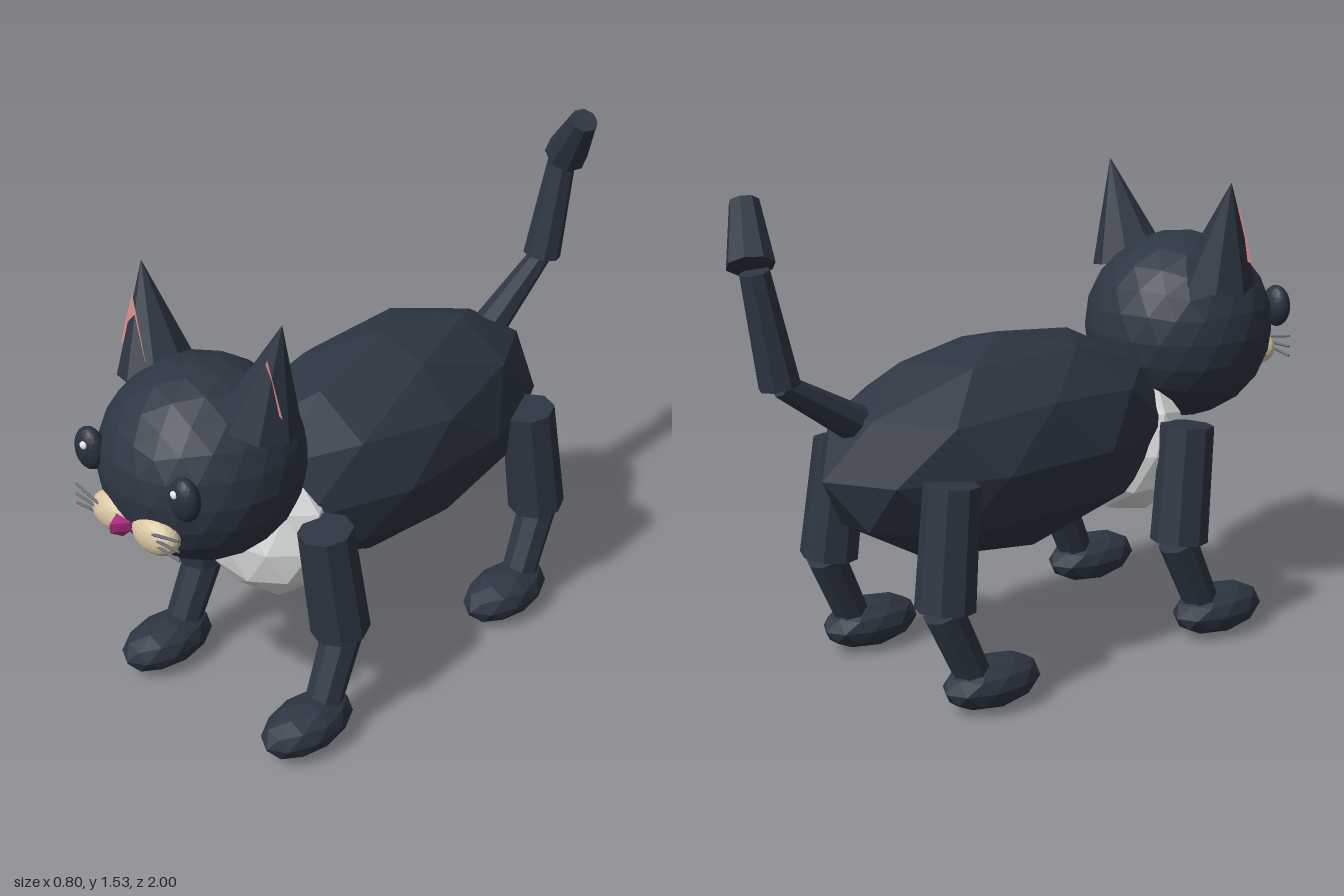
import * as THREE from 'three';
import { ConvexGeometry } from 'three/addons/geometries/ConvexGeometry.js';

const mat = (name, color) => {
  const m = new THREE.MeshStandardMaterial({ color, flatShading: true });
  m.name = name;
  return m;
};
const V = (x, y, z) => new THREE.Vector3(x, y, z);

// Icosahedron-based ball with its poles on the y axis
function ballGeometry(detail) {
  const v = [0, 1, 0], f = [];
  for (const ring of [0, 1]) for (let i = 0; i < 5; i++) {
    const a = (i * 72 + ring * 36) * Math.PI / 180;
    v.push(0.8944 * Math.cos(a), ring ? -0.4472 : 0.4472, -0.8944 * Math.sin(a));
  }
  v.push(0, -1, 0);
  for (let i = 0; i < 5; i++) {
    const j = (i + 1) % 5;
    f.push(0, 1 + i, 1 + j, 1 + i, 6 + i, 1 + j, 6 + i, 6 + j, 1 + j, 11, 6 + j, 6 + i);
  }
  return new THREE.PolyhedronGeometry(v, f, 1, detail);
}

export function createModel() {
  const group = new THREE.Group();
  group.name = 'cat';
  const fur = mat('dark fur', 0x2d3643);
  const white = mat('white fur', 0xdde1df);
  const pink = mat('ear pink', 0xdb8c8e);
  pink.side = THREE.DoubleSide;
  const tan = mat('muzzle tan', 0xd8c5a2);
  const magenta = mat('nose magenta', 0xb32d84);
  const grey = mat('whisker grey', 0x666c72);
  const eyeDark = mat('eye dark', 0x27303c);
  const glint = mat('eye glint', 0xf4f4f4);

  const add = (name, geometry, material) => {
    const m = new THREE.Mesh(geometry, material);
    m.name = name;
    group.add(m);
    return m;
  };
  const ball = (name, material, c, r, detail = 1) => {
    const m = add(name, ballGeometry(detail), material);
    m.position.set(...c);
    m.scale.set(...r);
    return m;
  };
  // Tapered cylinder running from point a to point b
  const limb = (name, material, a, b, ra, rb, sides = 8) => {
    const d = b.clone().sub(a);
    const m = add(name, new THREE.CylinderGeometry(rb, ra, d.length(), sides), material);
    m.position.copy(a).addScaledVector(d, 0.5);
    m.quaternion.setFromUnitVectors(V(0, 1, 0), d.normalize());
    return m;
  };

  // Trunk, chest and head
  ball('body', fur, [0, 0.69, -0.1], [0.326, 0.34, 0.64]);
  ball('chest', white, [0, 0.6, 0.4], [0.245, 0.24, 0.18]);
  ball('head', fur, [0, 0.935, 0.645], [0.3, 0.3, 0.3], 3);

  for (const s of [-1, 1]) {
    const side = s > 0 ? 'left' : 'right';

    // Legs: the hind pair repeats the front pair further back
    for (const [end, dz] of [['Front', 0], ['Hind', -0.917]]) {
      limb(side + end + 'UpperLeg', fur, V(s * 0.292, 0.335, 0.39 + dz), V(s * 0.275, 0.7, 0.432 + dz), 0.09, 0.083);
      limb(side + end + 'LowerLeg', fur, V(s * 0.305, 0.1, 0.487 + dz), V(s * 0.296, 0.335, 0.38 + dz), 0.056, 0.062);
      ball(side + end + 'Paw', fur, [s * 0.305, 0.078, 0.55 + dz], [0.098, 0.078, 0.17]);
    }

    // Ear cone
    limb(side + 'Ear', fur, V(s * 0.203, 1.12, 0.615), V(s * 0.277, 1.436, 0.593), 0.12, 0.0005);

    // Eye with glint
    ball(side + 'Eye', eyeDark, [s * 0.193, 0.99, 0.892], [0.052, 0.067, 0.036], 3);
    ball(side + 'EyeGlint', glint, [s * 0.184, 1.015, 0.922], [0.013, 0.013, 0.009]);

    // Muzzle pad and whiskers
    ball(side + 'Muzzle', tan, [s * 0.083, 0.835, 0.905], [0.084, 0.06, 0.05], 3);
    for (const [y0, y1] of [[0.863, 0.885], [0.848, 0.85], [0.834, 0.82]]) {
      limb(side + 'Whisker', grey, V(s * 0.11, y0, 0.942), V(s * 0.212, y1, 0.938), 0.005, 0.004, 6);
    }
  }

  // Inner ear plates; the left one sits deeper in its ear
  const plate = (name, ...pts) => {
    const g = new THREE.BufferGeometry().setFromPoints(pts);
    g.computeVertexNormals();
    add(name, g, pink);
  };
  plate('rightInnerEar', V(-0.266, 1.355, 0.643), V(-0.318, 1.183, 0.65), V(-0.168, 1.19, 0.692));
  plate('leftInnerEar', V(0.27, 1.35, 0.645), V(0.19, 1.19, 0.61), V(0.316, 1.18, 0.637));

  // Nose
  add('nose', new ConvexGeometry([
    V(-0.031, 0.87, 0.947), V(0.031, 0.87, 0.947), V(-0.028, 0.84, 0.947),
    V(0.028, 0.84, 0.947), V(0, 0.812, 0.955), V(0, 0.872, 1), V(0, 0.845, 1),
  ]), magenta);

  // Tail in three kinked pieces
  limb('tailBase', fur, V(0, 0.83, -0.6), V(0, 1.0, -0.868), 0.057, 0.035);
  limb('tailMiddle', fur, V(0, 1.0, -0.873), V(0.02, 1.33, -0.93), 0.061, 0.044);
  limb('tailTip', fur, V(0.03, 1.345, -0.935), V(0.13, 1.503, -0.886), 0.07, 0.043);

  return group;
}
